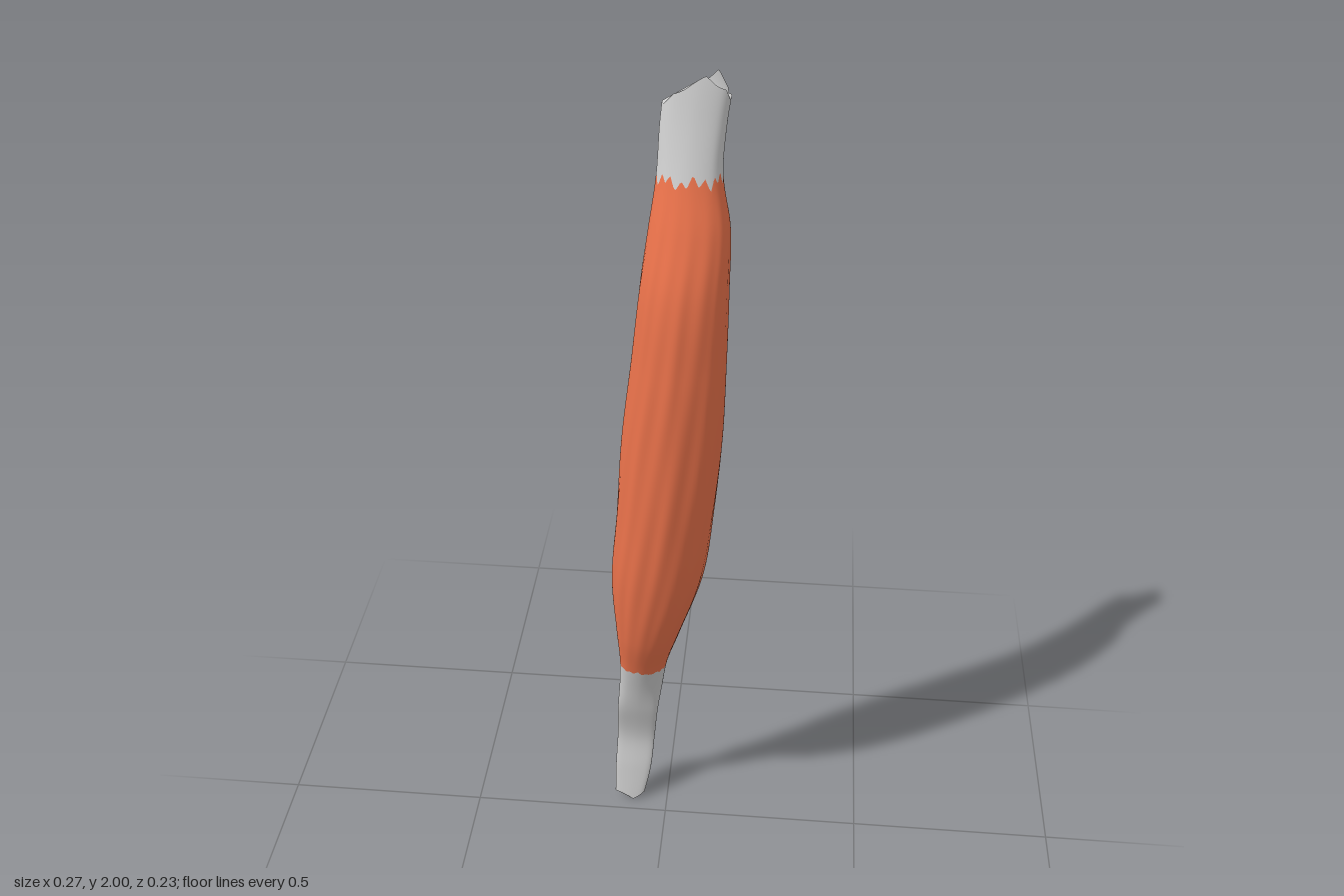
import * as THREE from 'three';

// Outline of the strip by height: y, then xMin, xMax, zBack, zFront
const ROWS = [
  [0.00, -0.138, -0.065, -0.050, -0.034],
  [0.10, -0.137, -0.045, -0.066, -0.050],
  [0.20, -0.132, -0.036, -0.080, -0.064],
  [0.33, -0.126, -0.024, -0.056, -0.036],
  [0.41, -0.120, -0.013, -0.072, -0.016],
  [0.50, -0.116, 0.000, -0.082, 0.014],
  [0.62, -0.120, 0.034, -0.096, 0.058],
  [0.80, -0.126, 0.086, -0.110, 0.094],
  [1.00, -0.110, 0.110, -0.106, 0.111],
  [1.20, -0.094, 0.126, -0.098, 0.114],
  [1.40, -0.070, 0.131, -0.078, 0.108],
  [1.58, -0.052, 0.132, -0.074, 0.087],
  [1.70, -0.036, 0.130, -0.080, 0.046],
  [1.80, -0.023, 0.112, -0.090, 0.002],
  [1.90, -0.018, 0.116, -0.102, -0.035],
  [2.00, -0.008, 0.130, -0.112, -0.064],
];
const profile = new THREE.CubicInterpolant(
  ROWS.map((r) => r[0]), ROWS.flatMap((r) => r.slice(1)), 4);

const RING = 120;

// Bean-shaped section with a sharp back ridge and a hollow back left face
function section(tip) {
  const pts = [
    [tip, -1], [0.93, -0.55], [1, 0.1], [0.72, 0.72], [0, 1], [-0.68, 0.75],
    [-1, 0.15], [-0.78, -0.22], [-0.25, -0.25], [tip - 0.35, -0.58], [tip, -1],
  ];
  return new THREE.CatmullRomCurve3(pts.map(([u, v]) => new THREE.Vector3(u, 0, v)));
}

// Point on the surface at height y and ring fraction t
function surfacePoint(curve, y, t) {
  const [x0, x1, z0, z1] = profile.evaluate(y);
  const p = curve.getPoint(t);
  // Slanting fibre grooves, fading towards the tendons and the ridge
  const belly = THREE.MathUtils.smoothstep(y, 0.45, 0.8) * (1 - THREE.MathUtils.smoothstep(y, 1.6, 1.85));
  const wave = Math.sin(t * 110 + y * 9) + 0.6 * Math.sin(t * 67 - y * 5);
  const k = 1 + 0.012 * belly * wave * Math.sin(Math.PI * t);
  return new THREE.Vector3(
    (x0 + x1) / 2 + p.x * k * (x1 - x0) / 2, y,
    (z0 + z1) / 2 + p.z * k * (z1 - z0) / 2);
}

// Loft between two ragged edges, each given as height by ring fraction
function loft(name, bottom, top, rows, color, cap = 0) {
  const pos = [], index = [];
  for (let i = 0; i <= rows; i++) {
    for (let j = 0; j <= RING; j++) {
      const t = j / RING;
      const y = THREE.MathUtils.lerp(bottom(t), top(t), i / rows);
      const tip = THREE.MathUtils.lerp(0.4, 0.75, THREE.MathUtils.clamp((y - 0.6) / 1.2, 0, 1));
      const curve = curves[Math.round(tip * 200)] ??= section(tip);
      pos.push(...surfacePoint(curve, y, t).toArray());
      if (i < rows && j < RING) {
        const a = i * (RING + 1) + j, c = a + RING + 1;
        index.push(a, c, a + 1, a + 1, c, c + 1);
      }
    }
  }
  // Close the free end by joining its front edge to its back edge
  if (cap) {
    const start = cap > 0 ? rows * (RING + 1) : 0;
    const base = pos.length / 3;
    for (let j = 0; j <= RING; j++) pos.push(...pos.slice((start + j) * 3, (start + j) * 3 + 3));
    for (let j = 0; j < RING / 2; j++) {
      const a = base + j, b = a + 1, c = base + RING - j, d = c - 1;
      if (cap > 0) index.push(a, c, b, b, c, d);
      else index.push(a, b, c, b, d, c);
    }
  }
  const geo = new THREE.BufferGeometry();
  geo.setAttribute('position', new THREE.Float32BufferAttribute(pos, 3));
  geo.setIndex(index);
  geo.computeVertexNormals();
  const mesh = new THREE.Mesh(geo, new THREE.MeshStandardMaterial({ color, side: THREE.DoubleSide }));
  mesh.name = name;
  return mesh;
}
const curves = {};

// Edge heights: jagged joints between belly and tendons, torn free ends
const zigzag = (t, n) => Math.abs(((t * n) % 1) - 0.5) * 2;
const lowerJoint = (t) => 0.488 + 0.014 * zigzag(t, 19) * zigzag(t, 7);
const upperJoint = (t) => 1.8 + 0.035 * (zigzag(t, 21) * 0.6 + zigzag(t, 8) * 0.4 - 0.5);
const lowerEnd = (t) => {
  const u = Math.cos((t - 0.15) * Math.PI * 2);
  return 0.02 * Math.min(1, Math.abs(u - 0.25) * 1.6);
};
const upperEnd = (t) => {
  const u = Math.cos((t - 0.15) * Math.PI * 2);
  return 1.999 - 0.05 * Math.abs(u - 0.15) - 0.012 * zigzag(t, 9) * Math.abs(u);
};

export function createModel() {
  const model = new THREE.Group();
  model.name = 'muscle';
  model.add(
    loft('lowerTendon', lowerEnd, lowerJoint, 40, 0xcccccc, -1),
    loft('muscleBelly', lowerJoint, upperJoint, 110, 0xe8714a),
    loft('upperTendon', upperJoint, upperEnd, 18, 0xcccccc, 1),
  );
  return model;
}
